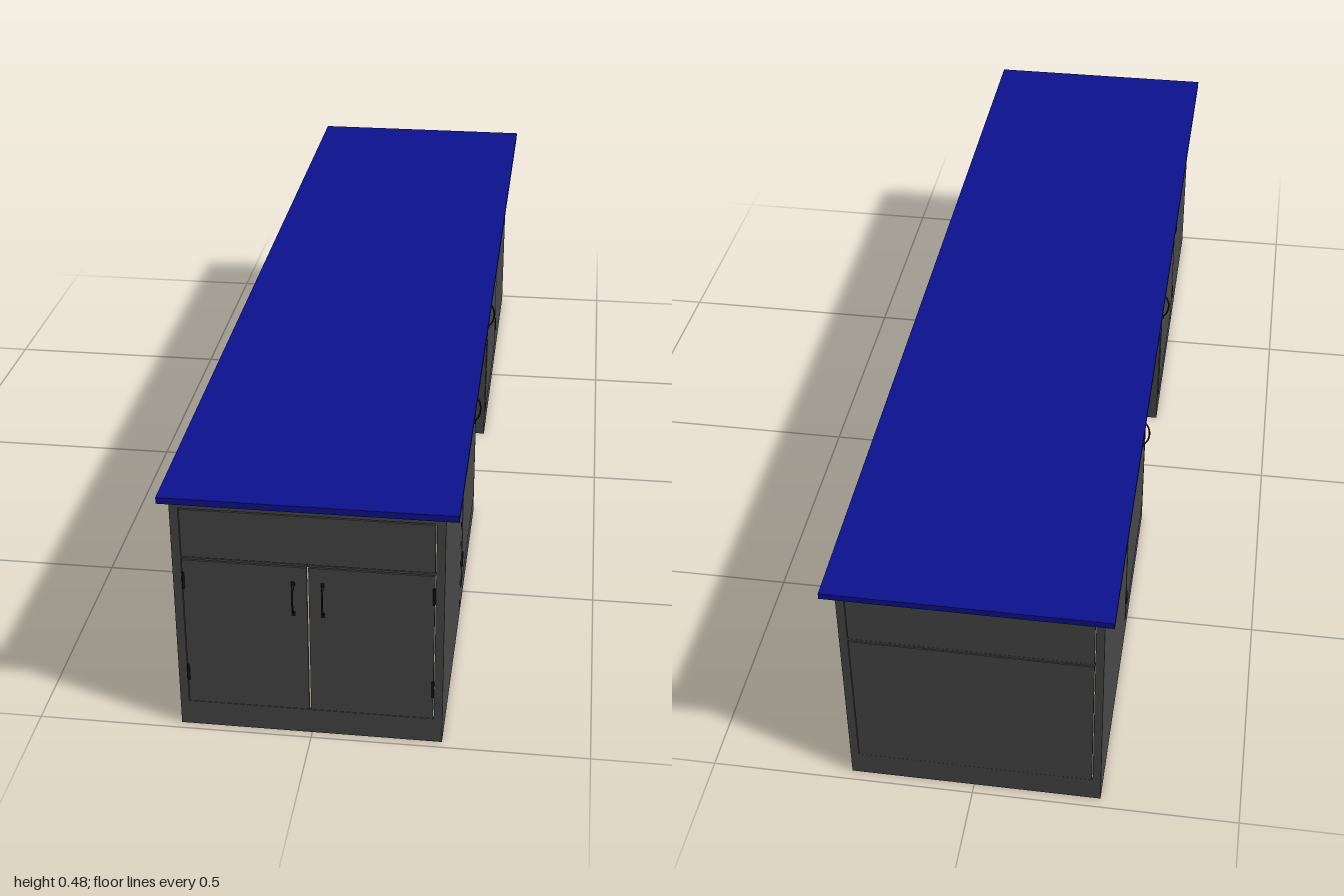
import * as THREE from 'three';

const mat = (color) => new THREE.MeshStandardMaterial({ color, side: THREE.DoubleSide });
const T = 0.006;      // panel thickness
const GAP = 0.0015;   // joint around doors and drawers
const HX = 0.2375;    // half width of the cabinets
const ZF = 0.985, ZB = -0.98, H = 0.47, NICHE = 0.18, DEPTH = 0.052;

export function createModel() {
  const model = new THREE.Group();
  model.name = 'workbench';
  const grey = mat(0x484848), dark = mat(0x101010), blue = mat(0x0d1190);

  const add = (parent, name, geo, material, x = 0, y = 0, z = 0) => {
    const m = new THREE.Mesh(geo, material);
    m.name = name;
    m.position.set(x, y, z);
    parent.add(m);
    return m;
  };

  const rect = (P, a, b, c, d) => {
    const s = new P();
    s.moveTo(a, c); s.lineTo(b, c); s.lineTo(b, d); s.lineTo(a, d); s.closePath();
    return s;
  };

  // Upright wall with cut-outs; its outer face lies at local z = 0
  const wall = (g, name, u0, u1, y0, y1, holes = [], z = 0) => {
    const s = rect(THREE.Shape, Math.min(u0, u1), Math.max(u0, u1), y0, y1);
    for (const h of holes) s.holes.push(rect(THREE.Path, ...h));
    add(g, name, new THREE.ExtrudeGeometry(s, { depth: T, bevelEnabled: false }), grey, 0, 0, z - T);
  };

  // Door or drawer front filling a cut-out, slightly proud of the wall
  const panel = (g, name, [a, b, c, d], z = 0) =>
    add(g, name, new THREE.BoxGeometry(b - a - 2 * GAP, d - c - 2 * GAP, T), grey,
      (a + b) / 2, (c + d) / 2, z - T / 2 + 0.001);

  // Bowed pull with flared feet
  const handle = (g, u, y, z = 0, horizontal = false) => {
    const h = new THREE.Group();
    h.name = 'handle';
    const L = horizontal ? 0.036 : 0.031;
    const curve = new THREE.CatmullRomCurve3([[-1, 0], [-0.6, 0.009], [0, 0.0125], [0.6, 0.009], [1, 0]]
      .map(([t, b]) => new THREE.Vector3(0, t * L, b)));
    add(h, 'handleBow', new THREE.TubeGeometry(curve, 16, 0.0018, 8), dark);
    for (const s of [-1, 1])
      add(h, 'handleFoot', new THREE.BoxGeometry(0.007, 0.008, 0.003), dark, 0, s * L, 0.001);
    if (horizontal) h.rotation.z = Math.PI / 2;
    h.position.set(u, y, z);
    g.add(h);
  };

  const hinges = (g, u, z = 0) => {
    for (const y of [0.115, 0.31])
      add(g, 'hinge', new THREE.CylinderGeometry(0.0025, 0.0025, 0.034, 8), dark, u, y, z + 0.001);
  };

  // Countertop
  add(model, 'countertop', new THREE.BoxGeometry(0.516, 0.012, 2), blue, 0, H + 0.006, 0);

  const base = new THREE.Group();
  base.name = 'cabinets';
  base.position.x = -0.0025;
  model.add(base);

  // End walls: a double door at the front, a fixed panel at the back
  for (const front of [true, false]) {
    const end = new THREE.Group();
    end.name = front ? 'frontEnd' : 'backEnd';
    end.position.z = front ? ZF : ZB;
    if (!front) end.rotation.y = Math.PI;
    base.add(end);
    const e = 0.222, upper = [-e, e, 0.357, 0.455], lower = [-e, e, 0.05, 0.353];
    wall(end, 'endWall', -HX, HX, 0, H, [upper, lower]);
    panel(end, 'upperPanel', upper);
    if (front) {
      for (const s of [-1, 1]) {
        panel(end, 'door', s < 0 ? [-e, 0, 0.05, 0.353] : [0, e, 0.05, 0.353]);
        handle(end, s * 0.026, 0.287);
        hinges(end, s * 0.2195);
      }
    } else panel(end, 'lowerPanel', lower);
  }

  // Long sides
  for (const s of [1, -1]) {
    const side = new THREE.Group();
    side.name = s > 0 ? 'leftSide' : 'rightSide';
    side.position.x = s * HX;
    side.rotation.y = s * Math.PI / 2;
    base.add(side);
    const u = (z) => -s * z;

    // Plain wall of the front cabinet, parted by a narrow gap
    wall(side, 'plainWall', u(0.579), u(ZF - T), 0, H);

    // Drawer and door cabinets on both sides of the niche
    for (const k of [1, -1]) {
      const a = Math.min(u(k * 0.2), u(k * 0.56)), b = Math.max(u(k * 0.2), u(k * 0.56));
      const drawer = [a, b, 0.352, 0.452], door = [a, b, 0.05, 0.348];
      wall(side, 'cabinetWall', u(k * NICHE), u(k > 0 ? 0.573 : ZB + T), 0, H, [drawer, door]);
      panel(side, 'drawer', drawer);
      panel(side, 'door', door);
      handle(side, u(k * 0.393), 0.403, 0, true);
      handle(side, u(k * 0.24), 0.287);
      hinges(side, u(k * 0.558));
    }

    // Slotted fascia above the recessed double door
    wall(side, 'fascia', -NICHE + 0.002, NICHE - 0.002, 0.355, 0.457, [[-0.167, 0.167, 0.386, 0.42]]);
    const d1 = [-0.165, 0, 0.04, 0.335], d2 = [0, 0.165, 0.04, 0.335];
    wall(side, 'nicheWall', -NICHE, NICHE, 0, 0.355, [[-0.165, 0.165, 0.04, 0.335]], -DEPTH);
    for (const d of [d1, d2]) panel(side, 'nicheDoor', d, -DEPTH);
    for (const k of [-1, 1]) {
      handle(side, k * 0.02, 0.275, -DEPTH);
      hinges(side, k * 0.172, -DEPTH);
    }
  }

  // Shelf over the niche cabinet and the walls beside it
  add(base, 'nicheTop', new THREE.BoxGeometry(2 * HX, 0.004, 2 * NICHE), grey, 0, 0.355, 0);
  for (const k of [-1, 1])
    add(base, 'divider', new THREE.BoxGeometry(2 * HX - 2 * T, H, T), grey, 0, H / 2, k * (NICHE + T / 2));

  return model;
}
